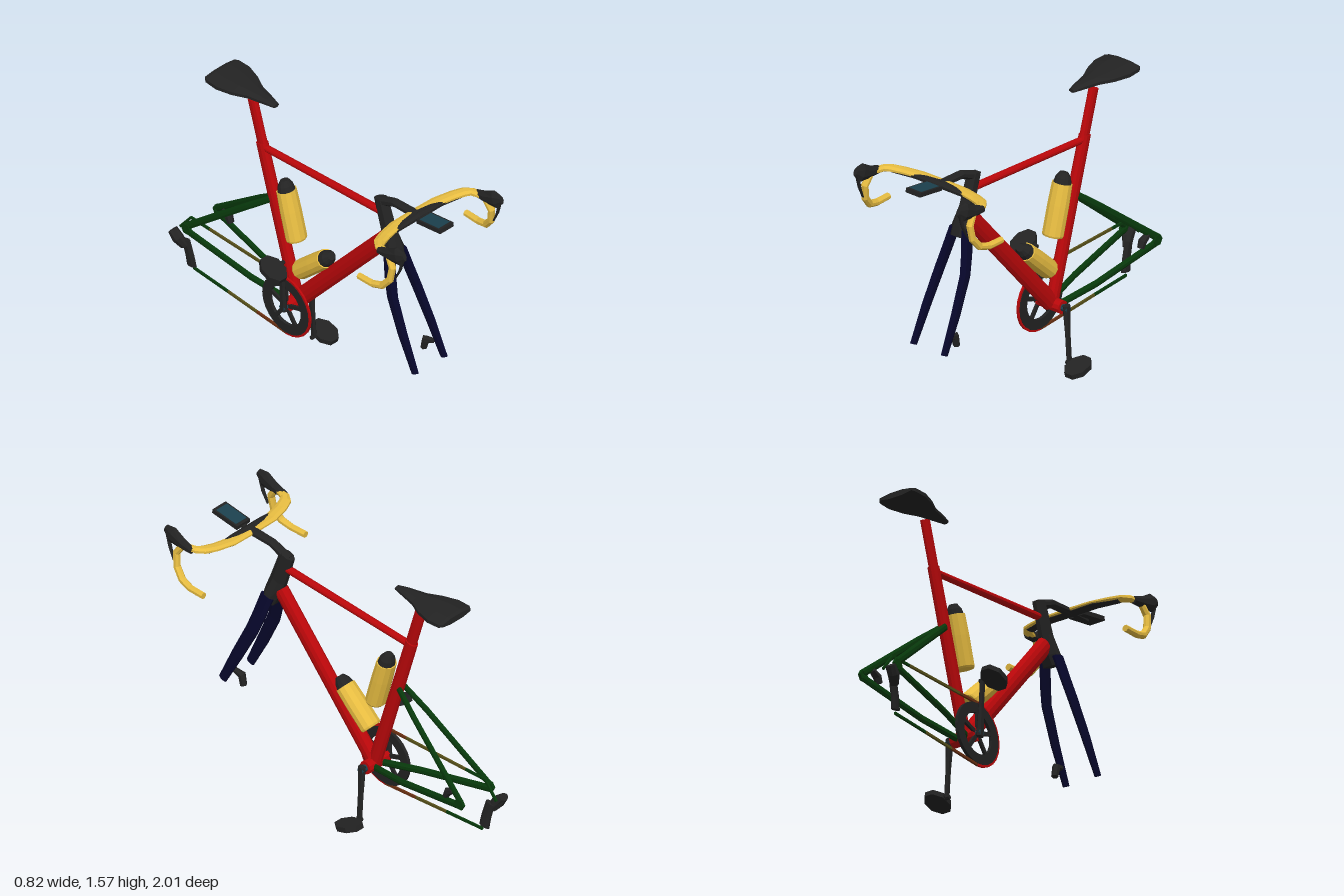
import * as THREE from 'three';

const mat = (name, color) => Object.assign(new THREE.MeshStandardMaterial({ color }), { name });

export function createModel() {
  const red = mat('frame red', 0xbb070a), yellow = mat('tape yellow', 0xeabf42);
  const dark = mat('carbon grey', 0x232323), green = mat('stay green', 0x083a0c);
  const navy = mat('fork navy', 0x07072c), teal = mat('screen teal', 0x1c414e);
  const olive = mat('chain olive', 0x57501a), brown = mat('chain brown', 0x6b3012);
  const model = new THREE.Group();
  model.name = 'roadBikeFrame';

  // Adds a faceted mesh
  function add(name, geo, material, pos = [0, 0, 0], rot = [0, 0, 0]) {
    const g = geo.index ? geo.toNonIndexed() : geo;
    g.computeVertexNormals();
    const mesh = new THREE.Mesh(g, material);
    mesh.name = name;
    mesh.position.set(...pos);
    mesh.rotation.set(...rot);
    model.add(mesh);
    return mesh;
  }

  // Sweeps an elliptical section; each point is [x, y, z, radius along ref, radius across]
  function loft(name, material, pts, sides = 8, ref = [1, 0, 0]) {
    const P = pts.map(p => new THREE.Vector3(p[0], p[1], p[2]));
    const R = new THREE.Vector3(...ref), pos = [], idx = [], n = P.length;
    P.forEach((p, i) => {
      const T = P[Math.min(i + 1, n - 1)].clone().sub(P[Math.max(i - 1, 0)]).normalize();
      const S = R.clone().addScaledVector(T, -R.dot(T)).normalize();
      const N = T.clone().cross(S);
      for (let j = 0; j < sides; j++) {
        const a = (j + 0.5) / sides * Math.PI * 2;
        const v = p.clone().addScaledVector(S, Math.cos(a) * pts[i][3])
          .addScaledVector(N, Math.sin(a) * (pts[i][4] ?? pts[i][3]));
        pos.push(v.x, v.y, v.z);
      }
    });
    const first = n * sides, last = first + 1, end = (n - 1) * sides;
    pos.push(...P[0].toArray(), ...P[n - 1].toArray());
    for (let j = 0; j < sides; j++) {
      const k = (j + 1) % sides;
      for (let i = 0; i < n - 1; i++) {
        const a = i * sides, b = a + sides;
        idx.push(a + j, a + k, b + k, a + j, b + k, b + j);
      }
      idx.push(first, k, j, last, end + j, end + k);
    }
    const g = new THREE.BufferGeometry();
    g.setAttribute('position', new THREE.Float32BufferAttribute(pos, 3));
    g.setIndex(idx);
    return add(name, g, material);
  }

  // Main frame tubes
  loft('seatTube', red, [[0, 0.36, -0.18, 0.032, 0.04], [0, 1.25, -0.447, 0.028, 0.038]], 12);
  loft('seatPost', red, [[0, 1.2, -0.43, 0.021, 0.034], [0, 1.495, -0.518, 0.021, 0.034]], 12);
  loft('topTube', red, [[0, 1.29, 0.45, 0.022, 0.021], [0, 1.225, -0.43, 0.02, 0.019]], 12);
  loft('downTube', red, [[0, 1.14, 0.5, 0.034, 0.05], [0, 0.37, -0.165, 0.036, 0.05]], 12);
  const across = [0, 0, Math.PI / 2];
  add('bottomBracket', new THREE.CylinderGeometry(0.038, 0.038, 0.16, 10), red, [-0.005, 0.355, -0.18], across);
  add('crankAxle', new THREE.CylinderGeometry(0.02, 0.02, 0.23, 8), teal, [0, 0.355, -0.18], across);

  // Head tube, flaring into the fork crown
  loft('headTube', dark, [[0, 1.38, 0.452, 0.03, 0.048], [0, 1.2, 0.512, 0.034, 0.054],
    [0, 1.1, 0.55, 0.057, 0.052], [0, 1.045, 0.57, 0.066, 0.044]]);

  // Stem, bar centre with dark insert and underside, and cycle computer
  loft('stem', dark, [[0, 1.355, 0.44, 0.028, 0.028], [0, 1.405, 0.56, 0.026, 0.024],
    [0, 1.415, 0.73, 0.03, 0.02]]);
  loft('barCentre', yellow, [[-0.16, 1.416, 0.715, 0.037, 0.011], [0, 1.416, 0.712, 0.036, 0.013],
    [0.16, 1.416, 0.715, 0.037, 0.011]], 8, [0, 0, 1]);
  loft('barInsert', dark, [[-0.22, 1.413, 0.748, 0.008, 0.006], [-0.1, 1.415, 0.732, 0.027, 0.015],
    [0, 1.416, 0.724, 0.034, 0.017], [0.1, 1.415, 0.732, 0.027, 0.015], [0.22, 1.413, 0.748, 0.008, 0.006]],
    8, [0, 0, 1]);
  loft('barUnderside', dark, [[-0.3, 1.408, 0.757, 0.024, 0.005], [-0.16, 1.407, 0.722, 0.034, 0.007],
    [0.16, 1.407, 0.722, 0.034, 0.007], [0.3, 1.408, 0.757, 0.024, 0.005]], 8, [0, 0, 1]);
  add('computerMount', new THREE.BoxGeometry(0.03, 0.012, 0.14), dark, [0, 1.415, 0.79]);
  add('computer', new THREE.BoxGeometry(0.1, 0.025, 0.18), dark, [0, 1.436, 0.86], [-0.15, 0, 0]);
  add('computerScreen', new THREE.BoxGeometry(0.082, 0.004, 0.145), teal, [0, 1.4485, 0.858], [-0.15, 0, 0]);

  for (const s of [1, -1]) {
    const side = s > 0 ? 'left' : 'right';
    const mir = pts => pts.map(([x, ...r]) => [x * s, ...r]);
    // Handlebar tops, drops, hoods and levers
    loft(side + 'BarTop', yellow, mir([[0.15, 1.416, 0.715, 0.037, 0.011], [0.25, 1.418, 0.738, 0.036, 0.014],
      [0.31, 1.421, 0.762, 0.034, 0.017], [0.34, 1.422, 0.792, 0.026, 0.018], [0.354, 1.422, 0.85, 0.02, 0.018]]),
      8, [0, 0, 1]);
    loft(side + 'BarDrop', yellow, mir([[0.355, 1.41, 0.88, 0.019], [0.362, 1.36, 0.913, 0.021],
      [0.37, 1.28, 0.902, 0.021], [0.38, 1.222, 0.855, 0.021], [0.388, 1.202, 0.79, 0.02], [0.391, 1.2, 0.69, 0.019]]));
    loft(side + 'Hood', dark, mir([[0.355, 1.416, 0.805, 0.021, 0.02], [0.355, 1.43, 0.88, 0.025, 0.034],
      [0.355, 1.452, 0.95, 0.025, 0.052], [0.355, 1.475, 0.998, 0.012, 0.024]]));
    loft(side + 'Lever', dark, mir([[0.355, 1.45, 0.985, 0.014, 0.008], [0.356, 1.37, 0.965, 0.012, 0.006],
      [0.36, 1.3, 0.933, 0.008, 0.004]]));

    // Fork blades
    loft(side + 'ForkBlade', navy, mir([[0.042, 1.09, 0.558, 0.017, 0.044], [0.068, 0.96, 0.594, 0.017, 0.043],
      [0.086, 0.86, 0.628, 0.017, 0.041], [0.1, 0.67, 0.72, 0.015, 0.037], [0.106, 0.47, 0.82, 0.012, 0.027]]));

    // Rear stays and dropouts
    loft(side + 'SeatStay', green, mir([[0.02, 0.925, -0.37, 0.012, 0.02], [0.05, 0.816, -0.51, 0.012, 0.021],
      [0.113, 0.498, -0.905, 0.011, 0.022]]), 8);
    loft(side + 'ChainStay', green, mir([[0.03, 0.35, -0.2, 0.016, 0.02], [0.075, 0.39, -0.45, 0.014, 0.021],
      [0.114, 0.475, -0.915, 0.011, 0.023]]), 8);
    add(side + 'Dropout', new THREE.CylinderGeometry(0.034, 0.034, 0.016, 6), green, [s * 0.115, 0.485, -0.9], across);

    // Cranks and pedals: left arm down, right arm up
    const py = s > 0 ? 0.042 : 0.655;
    loft(side + 'Crank', dark, mir([[0.1, 0.375 + (s < 0 ? -0.04 : 0), -0.18, 0.02, 0.025],
      [0.11, 0.2 + (s < 0 ? 0.3 : 0), -0.18, 0.012, 0.02], [0.12, py, -0.18, 0.012, 0.02]]), 6);
    const pedal = new THREE.CylinderGeometry(0.07, 0.07, 0.03, 8).rotateY(Math.PI / 8);
    pedal.scale(0.95, 1, 1.25);
    add(side + 'Pedal', pedal, dark, [s * 0.188, py, -0.17], [s > 0 ? 0.28 : 0.4, 0, 0]);
    add(side + 'PedalAxle', new THREE.CylinderGeometry(0.012, 0.012, 0.08, 6), dark, [s * 0.14, py, -0.18], across);
  }

  // Chainring with spider arms
  const ring = new THREE.Shape().absarc(0, 0, 0.174, 0, Math.PI * 2);
  ring.holes.push(new THREE.Path().absarc(0, 0, 0.117, 0, Math.PI * 2, true));
  const ringGeo = new THREE.ExtrudeGeometry(ring, { depth: 0.018, bevelEnabled: false, curveSegments: 12 });
  add('chainring', ringGeo, dark, [-0.09, 0.357, -0.18], [0, Math.PI / 2, 0]);
  for (let i = 0; i < 5; i++) {
    const a = i / 5 * Math.PI * 2;
    add('spiderArm', new THREE.BoxGeometry(0.014, 0.11, 0.022), dark,
      [-0.083, 0.357 + Math.cos(a) * 0.08, -0.18 + Math.sin(a) * 0.08], [a, 0, 0]);
  }

  // Chain: around the ring, along both runs and down to the derailleur
  const link = (y, z) => [-0.082, y, z, 0.008, 0.01], wrap = [];
  for (let i = 0; i <= 12; i++) {
    const a = i / 12 * Math.PI;
    wrap.push(link(0.357 + Math.cos(a) * 0.179, -0.18 + Math.sin(a) * 0.179));
  }
  loft('chainWrap', red, wrap, 4);
  loft('upperChainFront', brown, [link(0.536, -0.18), link(0.537, -0.33)], 4);
  loft('upperChain', olive, [link(0.537, -0.33), link(0.541, -0.76)], 4);
  loft('upperChainRear', green, [link(0.541, -0.76), link(0.542, -0.9), link(0.44, -0.98)], 4);
  loft('lowerChainFront', brown, [link(0.178, -0.18), link(0.191, -0.4)], 4);
  loft('lowerChain', olive, [link(0.191, -0.4), link(0.205, -0.62)], 4);
  loft('lowerChainRear', green, [link(0.205, -0.62), link(0.22, -0.88)], 4);

  // Rear derailleur
  loft('derailleurBody', dark, [[-0.135, 0.445, -0.985, 0.03, 0.022], [-0.13, 0.405, -0.95, 0.032, 0.036],
    [-0.11, 0.36, -0.92, 0.022, 0.028]], 8);
  loft('derailleurCage', dark, [[-0.1, 0.395, -0.92, 0.014, 0.03], [-0.095, 0.3, -0.895, 0.014, 0.032],
    [-0.09, 0.235, -0.885, 0.014, 0.034]], 8);

  // Brake calipers
  loft('frontBrake', dark, [[0.088, 0.55, 0.755, 0.016, 0.015], [0.082, 0.535, 0.705, 0.022, 0.024],
    [0.082, 0.475, 0.692, 0.02, 0.018]], 6);
  loft('rearBrake', dark, [[0.098, 0.475, -0.785, 0.02, 0.018], [0.098, 0.51, -0.8, 0.024, 0.024],
    [0.1, 0.535, -0.84, 0.018, 0.016]], 6);

  // Bottles, each running from base to cap
  function bottle(name, y, z, len, angle) {
    const at = (d, r) => [0, y + Math.cos(angle) * d, z + Math.sin(angle) * d, r * 1.12, r];
    loft(name, yellow, [at(0, 0.05), at(0.01, 0.055), at(len * 0.6, 0.055), at(len, 0.052)], 12);
    loft(name + 'Cap', dark, [at(len, 0.046), at(len + 0.03, 0.04), at(len + 0.06, 0.022)], 12);
  }
  bottle('seatTubeBottle', 0.75, -0.185, 0.295, -0.27);
  bottle('downTubeBottle', 0.565, -0.155, 0.26, 0.82);

  // Saddle
  loft('saddle', dark, [[0, 1.547, -0.34, 0.02, 0.01], [0, 1.549, -0.4, 0.036, 0.018],
    [0, 1.548, -0.5, 0.062, 0.022], [0, 1.548, -0.58, 0.104, 0.025], [0, 1.55, -0.67, 0.133, 0.027],
    [0, 1.552, -0.75, 0.13, 0.026], [0, 1.554, -0.77, 0.115, 0.018]]);

  return model;
}
